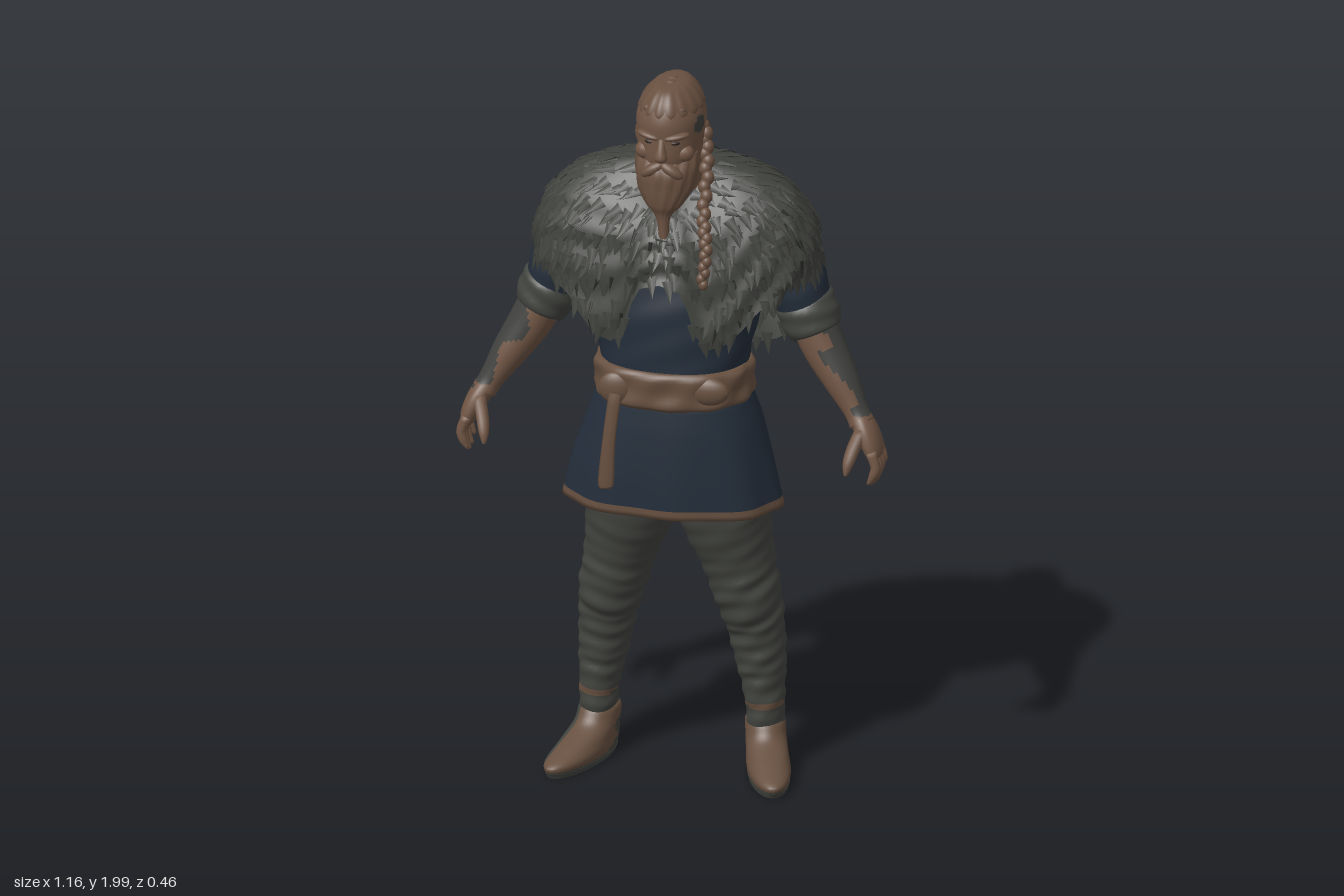
import * as THREE from 'three';
import { mergeGeometries } from 'three/addons/utils/BufferGeometryUtils.js';

const V = (x, y, z) => new THREE.Vector3(x, y, z);
const mat = (name, color) => {
  const m = new THREE.MeshStandardMaterial({ color, side: THREE.DoubleSide });
  m.name = name;
  return m;
};

let seed = 7;
const rand = () => (seed = (seed * 16807) % 2147483647) / 2147483647;

// Smooth tube through sections [x, y, z, sideRadius, frontRadius].
// flat keeps rings horizontal; mod scales the radius; pick chooses a material index per face.
function loft(sections, { rings = 24, sides = 24, flat = false, mod = () => 1, pick = () => 0 } = {}) {
  const path = new THREE.CatmullRomCurve3(sections.map(s => V(s[0], s[1], s[2])), false, 'catmullrom');
  const size = new THREE.CatmullRomCurve3(sections.map(s => V(s[3], s[4], 0)), false, 'catmullrom');
  const pos = [], groups = [[], []];
  for (let i = 0; i <= rings; i++) {
    const c = path.getPoint(i / rings), r = size.getPoint(i / rings);
    const t = flat ? V(0, 1, 0) : path.getTangent(i / rings);
    const side = t.clone().cross(V(0, 0, 1)).normalize(), front = side.clone().cross(t);
    for (let j = 0; j < sides; j++) {
      const th = j / sides * Math.PI * 2, k = mod(th, c.y);
      const p = c.clone().addScaledVector(side, Math.cos(th) * r.x * k).addScaledVector(front, Math.sin(th) * r.y * k);
      pos.push(p.x, p.y, p.z);
    }
  }
  const ends = [path.getPoint(0), path.getPoint(1)];
  ends.forEach(p => pos.push(p.x, p.y, p.z));
  const first = (rings + 1) * sides, last = rings * sides;
  for (let j = 0; j < sides; j++) {
    const n = (j + 1) % sides;
    for (let i = 0; i < rings; i++) {
      const a = i * sides + j, b = i * sides + n, c = a + sides, d = b + sides;
      groups[pick(V(pos[3 * a], pos[3 * a + 1], pos[3 * a + 2]), j / sides * Math.PI * 2)].push(a, c, b, b, c, d);
    }
    groups[0].push(first, j, n, first + 1, last + n, last + j);
  }
  const g = new THREE.BufferGeometry();
  g.setAttribute('position', new THREE.Float32BufferAttribute(pos, 3));
  g.setIndex(groups.flat());
  g.addGroup(0, groups[0].length, 0);
  g.addGroup(groups[0].length, groups[1].length, 1);
  g.computeVertexNormals();
  return g;
}

// Cape surface: a is the angle from the front, t runs from neck to hem.
const HEM = [[0, 1.46], [7, 1.44], [11, 1.33], [16, 1.28], [25, 1.3], [38, 1.39], [60, 1.45], [90, 1.44], [115, 1.34], [145, 1.19], [180, 1.12]];
function hemY(a) {
  const d = Math.abs(((a * 180 / Math.PI + 540) % 360) - 180);
  const i = Math.max(1, HEM.findIndex(h => h[0] >= d));
  return THREE.MathUtils.mapLinear(d, HEM[i - 1][0], HEM[i][0], HEM[i - 1][1], HEM[i][1]);
}
function capePoint(a, t) {
  const s = Math.sin(a), c = Math.cos(a), f = Math.max(c, 0);
  const ss = Math.sign(s) * Math.abs(s) ** 0.85, cc = Math.sign(c) * Math.abs(c) ** (c > 0 ? 0.95 : 0.65);
  const neck = V(0.1 * s, 1.75 - 0.11 * f * f, 0.02 + 0.085 * c);
  const ctrl = V(0.41 * ss, 1.72 - 0.1 * f, c > 0 ? 0.19 * cc : 0.29 * cc);
  const hem = V(0.385 * ss, hemY(a), c > 0 ? 0.21 * cc : 0.175 * cc);
  const p = new THREE.QuadraticBezierCurve3(neck, ctrl, hem).getPoint(t);
  // shaggy layered relief
  return p.multiply(V(1 + 0.012 * t * Math.sin(7 * a + 22 * t), 1, 1 + 0.03 * t * Math.sin(9 * a + 26 * t)));
}
function capeGeometry() {
  const R = 24, N = 128, pos = [], idx = [];
  for (let i = 0; i <= R; i++) for (let j = 0; j < N; j++) pos.push(...capePoint(j / N * Math.PI * 2, i / R));
  for (let i = 0; i < R; i++) for (let j = 0; j < N; j++) {
    const n = (j + 1) % N, a = i * N + j, b = i * N + n;
    idx.push(a, a + N, b, b, a + N, b + N);
  }
  const g = new THREE.BufferGeometry();
  g.setAttribute('position', new THREE.Float32BufferAttribute(pos, 3));
  g.setIndex(idx);
  g.computeVertexNormals();
  return g;
}

// Flat pointed tufts lying along the cape, split in light and dark ones.
function furTufts() {
  const sets = [[], []];
  for (let i = 1; i <= 18; i++) {
    const t = i / 18, count = Math.round(12 + 46 * t);
    for (let j = 0; j < count; j++) {
      const a = (j + rand()) / count * Math.PI * 2, u = Math.min(1, t + (rand() - 0.5) * 0.04);
      const p = capePoint(a, u), dt = p.clone().sub(capePoint(a, u - 0.03)).normalize();
      const da = capePoint(a + 0.03, u).sub(capePoint(a - 0.03, u)).normalize();
      const out = dt.clone().cross(da).normalize();
      const dir = dt.clone().addScaledVector(out, 0.1).addScaledVector(da, (rand() - 0.5) * 0.6).normalize();
      const x = dir.clone().cross(out).normalize(), z = x.clone().cross(dir);
      const dark = rand() < 0.1 ? 1 : 0, len = 0.04 + rand() * 0.025;
      const g = new THREE.ConeGeometry(dark ? 0.007 : 0.019, len, 6, 1, true).scale(1, 1, 0.35);
      g.applyMatrix4(new THREE.Matrix4().makeBasis(x, dir, z).setPosition(p.addScaledVector(dir, len * 0.15)));
      sets[dark].push(g);
    }
  }
  return sets.map(s => mergeGeometries(s));
}

export function createModel() {
  const root = new THREE.Group();
  const skin = mat('skin', 0x715645), hair = mat('hair', 0x6a5141), leather = mat('leather', 0x675040);
  const tunic = mat('tunic blue', 0x242e3b), fur = mat('fur', 0x41433e), darkFur = mat('dark fur', 0x252724);
  const cloth = mat('grey cloth', 0x434540), ink = mat('grey markings', 0x41423f), dark = mat('dark', 0x2a231f);
  const add = (name, geo, m, parent = root) => {
    const mesh = new THREE.Mesh(geo, m);
    mesh.name = name;
    parent.add(mesh);
    return mesh;
  };
  const ball = (name, m, p, s) => {
    const b = add(name, new THREE.SphereGeometry(1, 16, 12), m);
    b.position.set(...p);
    b.scale.set(...s);
    return b;
  };

  // Tunic with flared, folded skirt and trimmed hem
  add('tunic', loft([[-0.005, 0.785, 0.015, 0.295, 0.185], [-0.005, 0.9, 0.02, 0.27, 0.18], [0, 1.02, 0.025, 0.235, 0.17],
    [0, 1.13, 0.03, 0.2, 0.155], [0, 1.22, 0.03, 0.204, 0.155], [0, 1.36, 0.02, 0.235, 0.16], [0, 1.5, 0.01, 0.25, 0.14],
    [0, 1.6, 0, 0.22, 0.11], [0, 1.68, 0, 0.1, 0.08]], {
    rings: 72, sides: 64, flat: true, pick: p => p.y < 0.803 ? 1 : 0,
    mod: (th, y) => 1 + 0.05 * Math.abs(Math.sin(2 * th)) ** 2 * (y < 1.1 ? 1 : 0.4)
      + (y < 1.1 ? (1.1 - y) * 0.07 * Math.sin(9 * th + 1) : 0.008 * Math.sin(y * 60 + 5 * th)),
  }), [tunic, leather]);

  // Belt with buckle knot and hanging tail
  add('belt', loft([[0, 1.09, 0.03, 0.202, 0.16], [0, 1.105, 0.03, 0.213, 0.171], [0, 1.14, 0.03, 0.209, 0.167],
    [0, 1.18, 0.03, 0.213, 0.171], [0, 1.197, 0.03, 0.2, 0.158]], {
    flat: true, sides: 64, rings: 14, mod: (th, y) => 1 + 0.03 * Math.abs(Math.sin(2 * th)) + 0.016 * Math.sin(11 * th + y * 50) }), leather);
  ball('beltKnot', leather, [-0.13, 1.14, 0.172], [0.045, 0.045, 0.02]);
  ball('beltPouch', leather, [0.12, 1.15, 0.165], [0.06, 0.04, 0.025]);
  add('beltTail', loft([[-0.125, 1.13, 0.19, 0.018, 0.008], [-0.14, 1, 0.198, 0.018, 0.008], [-0.148, 0.88, 0.198, 0.022, 0.008],
    [-0.148, 0.86, 0.198, 0.015, 0.006]], { sides: 8, rings: 12 }), leather);

  // Fur cape
  add('cape', capeGeometry(), fur);
  const [light, shade] = furTufts();
  add('capeTufts', light, fur);
  add('capeDarkTufts', shade, darkFur);

  for (const s of [1, -1]) {
    const side = s > 0 ? 'left' : 'right';
    const flip = list => list.map(([x, ...r]) => [x * s, ...r]);
    // Trouser leg with uneven wrapped folds below the knee
    add(side + 'Leg', loft(flip([[0.11, 0.95, 0, 0.11, 0.12], [0.122, 0.78, -0.005, 0.126, 0.13], [0.157, 0.62, -0.025, 0.1, 0.11],
      [0.185, 0.5, -0.035, 0.088, 0.1], [0.2, 0.42, -0.05, 0.078, 0.088], [0.215, 0.3, -0.06, 0.066, 0.08],
      [0.225, 0.2, -0.055, 0.053, 0.065], [0.23, 0.09, -0.06, 0.05, 0.06]]), {
      rings: 90, sides: 28, pick: p => p.y > 0.19 && p.y < 0.205 && p.z > -0.05 ? 1 : 0,
      mod: (th, y) => 1 + (y < 0.58 ? 0.024 : 0.01) * (Math.sin(y * 80 + 2.5 * Math.sin(th + s) + Math.sin(2 * th))
        + Math.sin(y * 137 - 2 * Math.sin(th - 1) + Math.cos(3 * th))),
    }), [cloth, leather]);
    // Boot, leather over the toes and grey behind
    const foot = new THREE.Group();
    foot.name = side + 'Boot';
    foot.position.set(0.225 * s, 0, -0.06);
    foot.rotation.y = 0.32 * s;
    root.add(foot);
    add('upper', loft([[0, 0.016, 0.095, 0.054, 0.16], [0, 0.04, 0.093, 0.058, 0.164], [0, 0.065, 0.06, 0.056, 0.132],
      [0, 0.1, 0.015, 0.054, 0.08], [0, 0.135, 0, 0.054, 0.064], [0, 0.15, 0, 0.045, 0.055]], {
      flat: true, sides: 36, rings: 28,
      pick: p => p.z > 0.02 - 0.4 * p.y + 0.02 * Math.sin(p.y * 90) && (s > 0 || p.x > -0.025) && p.y > 0.022 ? 1 : 0,
    }), [cloth, leather], foot);
    const sole = add('sole', new THREE.CylinderGeometry(1, 0.95, 0.014, 36), cloth, foot);
    sole.scale.set(0.056, 1, 0.162);
    sole.position.set(0, 0.013, 0.095);

    // Sleeve and rolled cuff
    add(side + 'Sleeve', loft(flip([[0.2, 1.6, -0.01, 0.06, 0.07], [0.27, 1.55, -0.015, 0.09, 0.09], [0.31, 1.45, -0.015, 0.083, 0.085],
      [0.35, 1.33, -0.015, 0.075, 0.078]]), { rings: 36, mod: (th, y) => 1 + 0.02 * Math.sin(y * 90 + 2 * Math.sin(th)) }), tunic);
    add(side + 'Cuff', loft(flip([[0.336, 1.375, -0.018, 0.07, 0.075], [0.344, 1.355, -0.018, 0.081, 0.085], [0.36, 1.315, -0.015, 0.081, 0.085],
      [0.375, 1.28, -0.012, 0.07, 0.075], [0.372, 1.288, -0.012, 0.04, 0.04]]), {
      rings: 24, mod: (th, y) => 1 + 0.025 * Math.sin(y * 130 + 2 * th) }), cloth);
    // Forearm, marked on the outside
    add(side + 'Forearm', loft(flip([[0.36, 1.32, -0.012, 0.06, 0.068], [0.4, 1.24, 0, 0.058, 0.064], [0.45, 1.16, 0.02, 0.048, 0.053],
      [0.495, 1.085, 0.04, 0.034, 0.038], [0.515, 1.05, 0.05, 0.034, 0.04]]), {
      rings: 40, sides: 32,
      pick: (p, th) => -s * Math.cos(th) - 0.6 * Math.sin(th) > -0.25 + 0.45 * Math.sin(p.y * 42 + 2 * th) && p.y > 1.08 ? 1 : 0,
    }), [skin, ink]);
    // Hand with fingers and thumb
    const hand = new THREE.Group();
    hand.name = side + 'Hand';
    root.add(hand);
    add('palm', loft(flip([[0.505, 1.07, 0.045, 0.03, 0.035], [0.53, 1.03, 0.055, 0.03, 0.05], [0.55, 0.985, 0.06, 0.025, 0.054],
      [0.555, 0.965, 0.06, 0.016, 0.045]]), {
      rings: 18, sides: 20, pick: p => p.x < -0.53 && p.z < 0.065 && p.y > 0.99 ? 1 : 0 }), [skin, ink], hand);
    for (let i = 0; i < 4; i++) {
      const z = 0.018 + i * 0.028, drop = [0.02, 0.004, 0, 0.01][i];
      add('finger', loft(flip([[0.55, 0.99, z, 0.015, 0.014], [0.564, 0.95, z + 0.003, 0.014, 0.014],
        [0.558, 0.915 + drop, z + 0.006, 0.012, 0.012], [0.545, 0.892 + drop, z + 0.008, 0.005, 0.005]]), { rings: 10, sides: 8 }), skin, hand);
    }
    add('thumb', loft(flip([[0.52, 1.04, 0.085, 0.018, 0.018], [0.505, 1, 0.112, 0.018, 0.018], [0.496, 0.965, 0.135, 0.015, 0.014],
      [0.492, 0.935, 0.148, 0.005, 0.005]]), { rings: 10, sides: 8 }), skin, hand);

    // Face sides: ear, brow, eye, cheek, moustache
    ball(side + 'Ear', skin, [0.092 * s, 1.83, 0.045], [0.012, 0.03, 0.018]);
    ball(side + 'Brow', hair, [0.038 * s, 1.874, 0.174], [0.036, 0.01, 0.018]).rotation.set(0, 0.35 * s, 0.15 * s);
    ball(side + 'Eye', dark, [0.036 * s, 1.856, 0.178], [0.013, 0.005, 0.005]).rotation.y = 0.35 * s;
    ball(side + 'Cheek', skin, [0.048 * s, 1.82, 0.148], [0.032, 0.026, 0.024]);
    ball(side + 'Moustache', hair, [0.026 * s, 1.778, 0.18], [0.036, 0.016, 0.018]).rotation.z = -0.55 * s;
  }

  // Head and neck, with shaved grey patches at the temples
  const patches = [[V(-0.09, 1.875, 0.045), 0.058], [V(0.085, 1.81, 0.03), 0.042], [V(0.088, 1.885, 0.1), 0.025]];
  add('head', loft([[0, 1.6, 0, 0.08, 0.075], [0, 1.71, 0.02, 0.075, 0.08], [0, 1.75, 0.055, 0.077, 0.108], [0, 1.8, 0.067, 0.086, 0.12],
    [0, 1.86, 0.068, 0.091, 0.122], [0, 1.91, 0.068, 0.09, 0.122], [0, 1.955, 0.065, 0.072, 0.105], [0, 1.985, 0.06, 0.04, 0.07],
    [0, 1.99, 0.06, 0.005, 0.01]], {
    rings: 60, sides: 56, flat: true, pick: p => patches.some(([c, r]) => p.distanceTo(c) < r) ? 1 : 0 }), [skin, ink]);
  add('nose', loft([[0, 1.87, 0.178, 0.01, 0.012], [0, 1.84, 0.188, 0.013, 0.016], [0, 1.815, 0.192, 0.018, 0.018], [0, 1.803, 0.186, 0.01, 0.01]],
    { sides: 12, rings: 10, flat: true }), skin);
  // Swept-back hair with plaited ridges
  add('hairCrown', loft([[0, 1.915, 0.066, 0.084, 0.116], [0, 1.935, 0.064, 0.085, 0.119], [0, 1.965, 0.062, 0.068, 0.105],
    [0, 1.988, 0.06, 0.042, 0.075], [0, 1.995, 0.06, 0.005, 0.01]], { sides: 64, flat: true, mod: th => 1 + 0.02 * Math.sin(16 * th) }), hair);
  for (const x of [-0.04, 0, 0.04]) {
    for (let i = 0; i < 11; i++) {
      const a = 0.75 + i * 0.22;
      ball('crownPlait', hair, [x, 1.88 + (0.106 - Math.abs(x) * 0.45) * Math.sin(a), 0.062 + 0.112 * Math.cos(a)], [0.019, 0.013, 0.018]);
    }
  }
  ball('hairBack', hair, [0, 1.85, -0.01], [0.066, 0.09, 0.052]);
  ball('hairNape', hair, [0, 1.77, -0.02], [0.052, 0.06, 0.035]);
  // Full beard ending in a thin braid
  add('beard', loft([[0, 1.815, 0.1, 0.082, 0.066], [0, 1.77, 0.118, 0.084, 0.078], [0, 1.72, 0.132, 0.075, 0.066], [0, 1.675, 0.152, 0.05, 0.042],
    [0, 1.64, 0.166, 0.02, 0.017], [0.004, 1.57, 0.172, 0.011, 0.011], [0.006, 1.51, 0.178, 0.003, 0.003]], {
    rings: 44, sides: 48, flat: true, mod: (th, y) => 1 + 0.035 * Math.sin(14 * th + y * 30) }), hair);
  // Long side braid
  const braid = new THREE.CatmullRomCurve3([V(0.085, 1.86, 0.05), V(0.1, 1.76, 0.085), V(0.108, 1.64, 0.155), V(0.122, 1.56, 0.19), V(0.115, 1.47, 0.205)]);
  for (let i = 0; i < 24; i++) {
    const p = braid.getPoint(i / 23), r = 0.019 - 0.006 * i / 23;
    ball('sideBraid', hair, [p.x + (i % 2 ? 0.004 : -0.004), p.y, p.z], [r, r * 1.2, r]);
  }
  return root;
}
